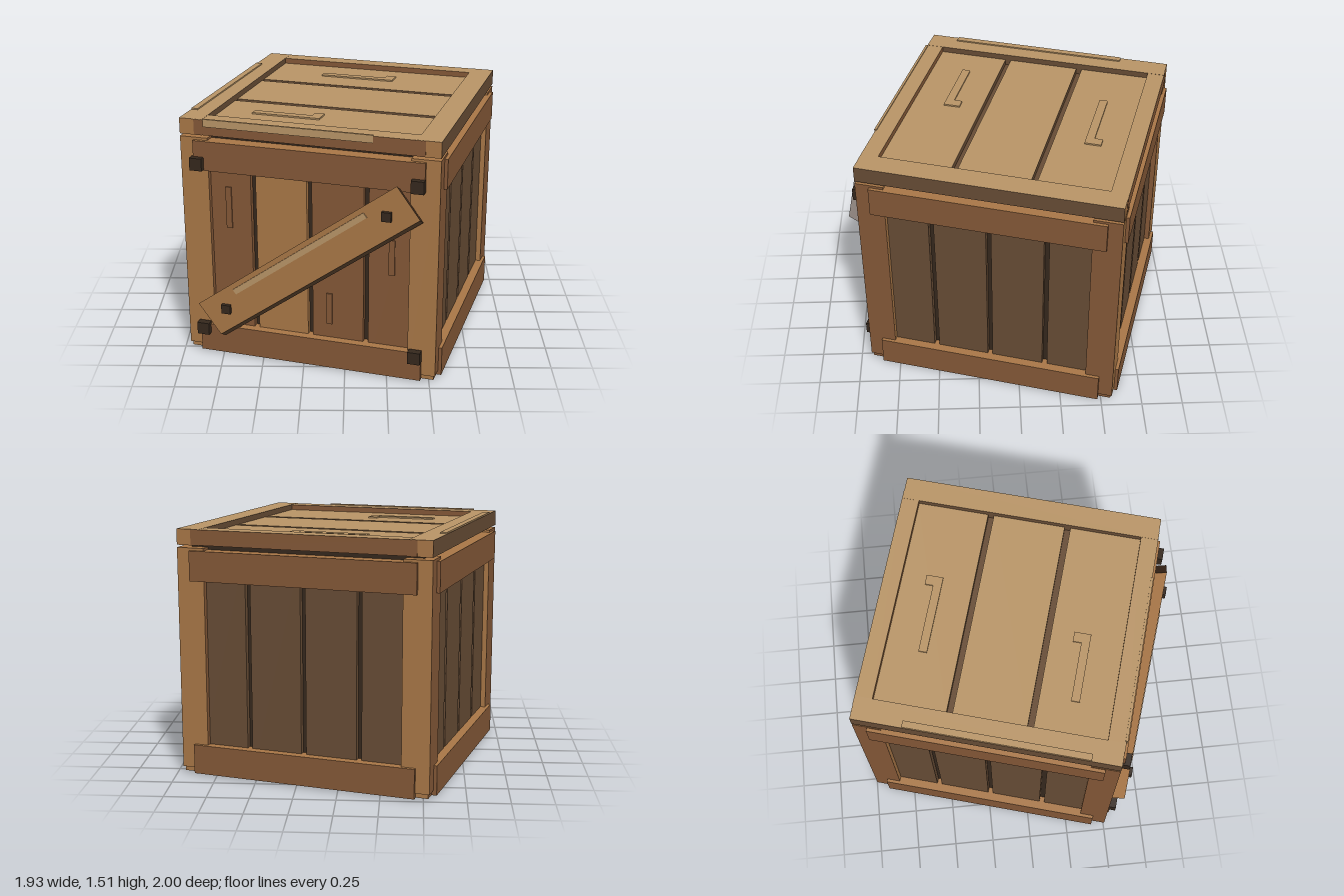
import * as THREE from 'three';

const mat = (name, hex) => {
  const m = new THREE.MeshStandardMaterial({ color: hex });
  m.name = name;
  return m;
};

export function createModel() {
  const tan = mat('paleWood', 0xb99567);
  const amber = mat('amberWood', 0xa97747);
  const brown = mat('brownWood', 0x845837);
  const dull = mat('dullWood', 0x674c35);
  const deep = mat('deepWood', 0x4b3321);
  const dark = mat('darkGap', 0x35281d);

  const model = new THREE.Group();
  model.name = 'crate';
  const crate = new THREE.Group();
  crate.name = 'crateBody';
  crate.rotation.y = -0.28;
  crate.position.z = -0.03;
  model.add(crate);

  // Box from its min and max corners; mats is one material or six (+x -x +y -y +z -z)
  const box = (name, [x0, y0, z0], [x1, y1, z1], mats, parent = crate) => {
    const mesh = new THREE.Mesh(new THREE.BoxGeometry(x1 - x0, y1 - y0, z1 - z0), mats);
    mesh.position.set((x0 + x1) / 2, (y0 + y1) / 2, (z0 + z1) / 2);
    mesh.name = name;
    parent.add(mesh);
    return mesh;
  };

  // Dark core seen through the gaps
  box('core', [-0.715, 0, -0.715], [0.715, 1.42, 0.715], dark);

  // Corner posts with short feet
  const postMats = [brown, brown, amber, dull, amber, amber];
  for (const sx of [-1, 1]) for (const sz of [-1, 1]) {
    const span = (a, b, s) => (s > 0 ? [a, b] : [-b, -a]);
    const [x0, x1] = span(0.61, 0.78, sx), [z0, z1] = span(0.61, 0.78, sz);
    box('cornerPost', [x0, 0.04, z0], [x1, 1.39, z1], postMats);
    const [fx0, fx1] = span(0.65, 0.77, sx), [fz0, fz1] = span(0.65, 0.77, sz);
    box('postFoot', [fx0, 0.012, fz0], [fx1, 0.04, fz1], postMats);
  }

  // Four walls: planks and rails, each turned into place
  const sideNames = ['front', 'left', 'back', 'right'];
  const frontTones = [brown, amber, brown, brown];
  sideNames.forEach((side, k) => {
    const wall = new THREE.Group();
    wall.name = side + 'Wall';
    wall.rotation.y = k * Math.PI / 2;
    crate.add(wall);
    for (let i = 0; i < 4; i++) {
      const c = (i - 1.5) * 0.345;
      box('wallPlank', [c - 0.157, 0.03, 0.7], [c + 0.157, 1.37, 0.748],
        k === 0 ? frontTones[i] : dull, wall);
    }
    const railMats = [brown, brown, amber, deep, brown, brown];
    box('lowerRail', [-0.695, 0.01, 0.7], [0.695, 0.19, 0.8], railMats, wall);
    box('upperRail', [-0.695, 1.195, 0.7], [0.695, 1.375, 0.8], railMats, wall);
  });

  // Raised splinters on the front planks
  for (const [x, y0, y1, m] of [[-0.5, 0.83, 1.09, brown], [0.12, 0.28, 0.48, brown], [0.5, 0.65, 0.87, brown]])
    box('splinter', [x - 0.018, y0, 0.747], [x + 0.018, y1, 0.756], m);

  // Lid frame
  for (const s of [-1, 1]) {
    const x = s * 0.71, z = s * 0.73;
    box('lidSideBoard', [x - 0.07, 1.405, -0.78], [x + 0.07, 1.5, 0.78],
      [dull, dull, tan, deep, amber, amber]);
    box('lidEndBoard', [-0.69, 1.407, z - 0.052], [0.69, 1.499, z + 0.052],
      [brown, brown, tan, deep, brown, brown]);
  }

  // Sunken lid panel: three planks over a floor
  box('lidFloor', [-0.65, 1.41, -0.69], [0.65, 1.43, 0.69], dull);
  for (const c of [-0.467, 0, 0.467]) {
    const h = c === 0 ? 0.217 : 0.215;
    box('lidPlank', [-0.64, 1.42, c - h], [0.64, 1.465, c + h], [dull, dull, tan, dull, dull, dull]);
  }

  // Thin raised strips with a hook on the lid planks
  for (const [x0, x1, z] of [[-0.3, 0.18, -0.46], [-0.44, -0.02, 0.46]]) {
    box('lidStrip', [x0, 1.46, z - 0.025], [x1, 1.474, z + 0.025], tan);
    box('lidStripHook', [x1 - 0.06, 1.46, z - 0.075], [x1, 1.474, z - 0.025], tan);
  }

  // Worn pale edges on the lid
  box('wornFrontEdge', [-0.63, 1.46, 0.775], [0.39, 1.506, 0.789], tan);
  box('wornSideEdge', [-0.777, 1.49, -0.48], [-0.737, 1.508, 0.607], tan);

  // Nails on the front rails
  const nail = (x, y, r, z0, z1, parent) =>
    box('nail', [x - r, y - r, z0], [x + r, y + r, z1], dark, parent);
  for (const x of [-0.668, 0.66]) for (const y of [0.17, 1.24]) nail(x, y, 0.038, 0.79, 0.835);

  // Slanted brace across the front, its back edge sagging
  const angle = 0.63;
  const braceGeo = new THREE.BoxGeometry(1.515, 0.233, 0.08);
  braceGeo.rotateZ(angle);
  const p = braceGeo.attributes.position;
  for (let i = 0; i < p.count; i++) if (p.getZ(i) < 0) p.setY(i, p.getY(i) - 0.045);
  braceGeo.computeVertexNormals();
  const brace = new THREE.Mesh(braceGeo, [deep, deep, amber, dull, amber, dull]);
  brace.name = 'brace';
  brace.position.set(0.01, 0.713, 0.835);
  crate.add(brace);

  // Pale streak and nails on the brace
  const streak = box('braceStreak', [-0.53, 0.75, 0.872], [0.47, 0.785, 0.881], tan);
  streak.position.set(-0.03, 0.767, 0.8765);
  streak.rotation.z = angle;
  nail(0.5, 1.07, 0.028, 0.86, 0.897);
  nail(-0.488, 0.355, 0.028, 0.86, 0.897);

  return model;
}
